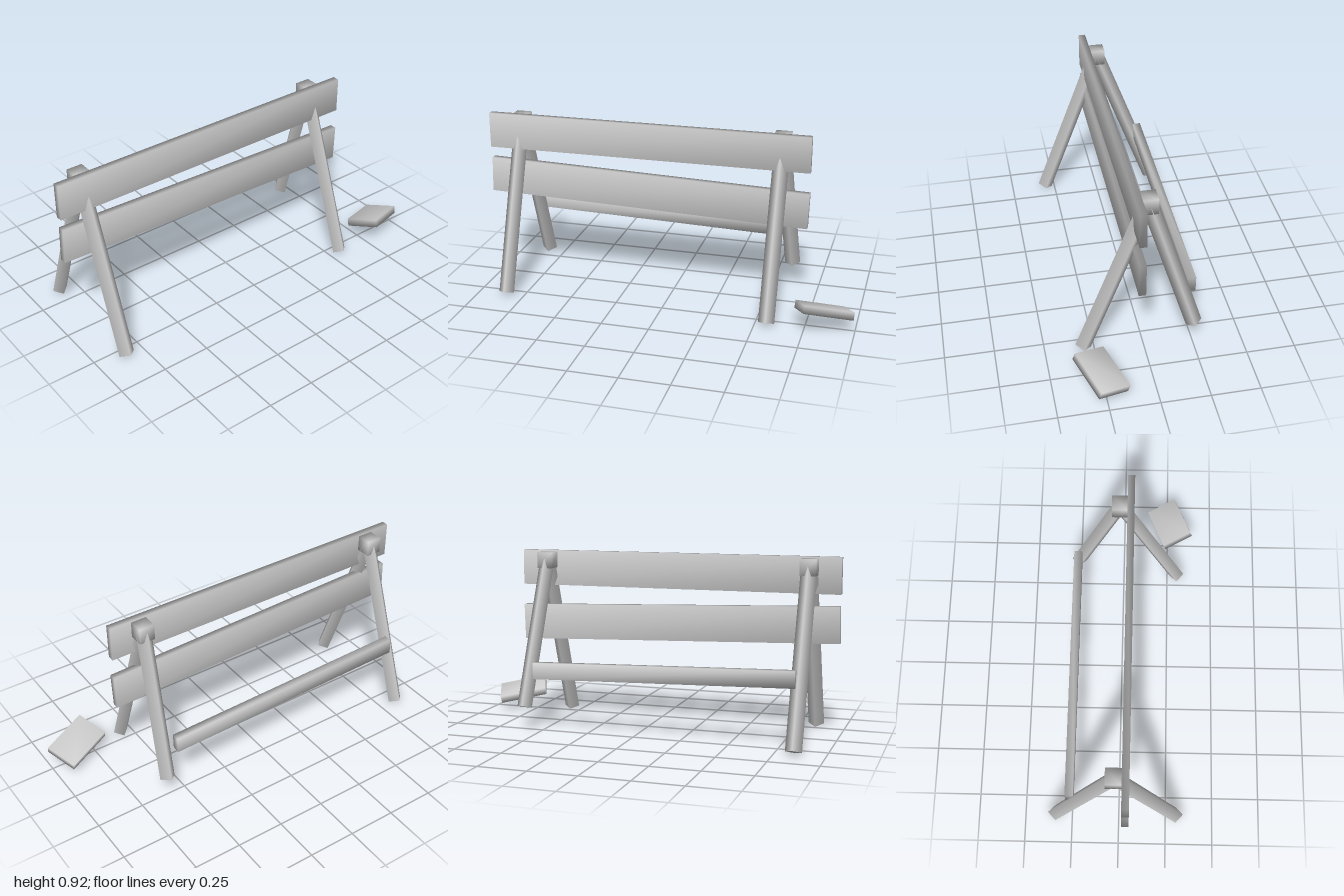
import * as THREE from 'three';
import { mergeVertices } from 'three/addons/utils/BufferGeometryUtils.js';

const material = new THREE.MeshStandardMaterial({ color: 0xcccccc });

// Box with shared corners, so the shading runs softly over its edges
function softBox(w, h, d) {
  const box = new THREE.BoxGeometry(w, h, d);
  box.deleteAttribute('normal');
  box.deleteAttribute('uv');
  const geometry = mergeVertices(box);
  geometry.computeVertexNormals();
  return geometry;
}

export function createModel() {
  const group = new THREE.Group();
  group.name = 'barricade';

  function add(name, geometry, x, y, z, tilt = 0) {
    const mesh = new THREE.Mesh(geometry, material);
    mesh.name = name;
    mesh.position.set(x, y, z);
    mesh.rotation.z = tilt;
    group.add(mesh);
    return mesh;
  }

  // Four-sided post, corners pointing front, back and sideways
  function addLeg(name, foot, top) {
    const a = new THREE.Vector3(...foot);
    const b = new THREE.Vector3(...top);
    const axis = b.clone().sub(a);
    const mesh = add(name, new THREE.CylinderGeometry(0.0415, 0.0415, axis.length(), 4),
      ...a.add(b).multiplyScalar(0.5).toArray());
    mesh.quaternion.setFromUnitVectors(new THREE.Vector3(0, 1, 0), axis.normalize());
  }

  // Two A-frames with a block at the peak
  for (const [side, x] of [['right', -0.845], ['left', 0.56]]) {
    add(side + 'PeakBlock', softBox(0.082, 0.083, 0.08), x, 0.876, -0.022);
    addLeg(side + 'FrontLeg', [x, 0.016, 0.305], [x, 0.87, -0.014]);
  }
  addLeg('rightBackLeg', [-0.845, 0.016, -0.341], [-0.845, 0.87, -0.022]);
  // Broken leg, shorter and splayed outwards
  addLeg('brokenBackLeg', [0.6, 0.12, -0.256], [0.56, 0.87, -0.025]);

  // Front planks, the lower one sagging
  add('upperPlank', softBox(1.715, 0.186, 0.036), -0.1425, 0.832, 0.035);
  add('lowerPlank', softBox(1.713, 0.187, 0.036), -0.1425, 0.56, 0.035, -0.03);

  // Rear rail
  add('backRail', softBox(1.375, 0.085, 0.043), -0.145, 0.335, -0.253, -0.026);

  // Broken-off piece leaning beside the frame
  const u = new THREE.Vector3(0.237, -0.05, -0.09).normalize();
  const v = new THREE.Vector3(0.067, 0.045, 0.152).normalize();
  const n = v.clone().cross(u).normalize();
  const piece = add('loosePiece', softBox(0.258, 0.04, 0.172), 0.845, 0.121, 0.255);
  piece.quaternion.setFromRotationMatrix(new THREE.Matrix4().makeBasis(u, n, v.crossVectors(u, n)));
  piece.position.addScaledVector(n, -0.02);

  return group;
}
